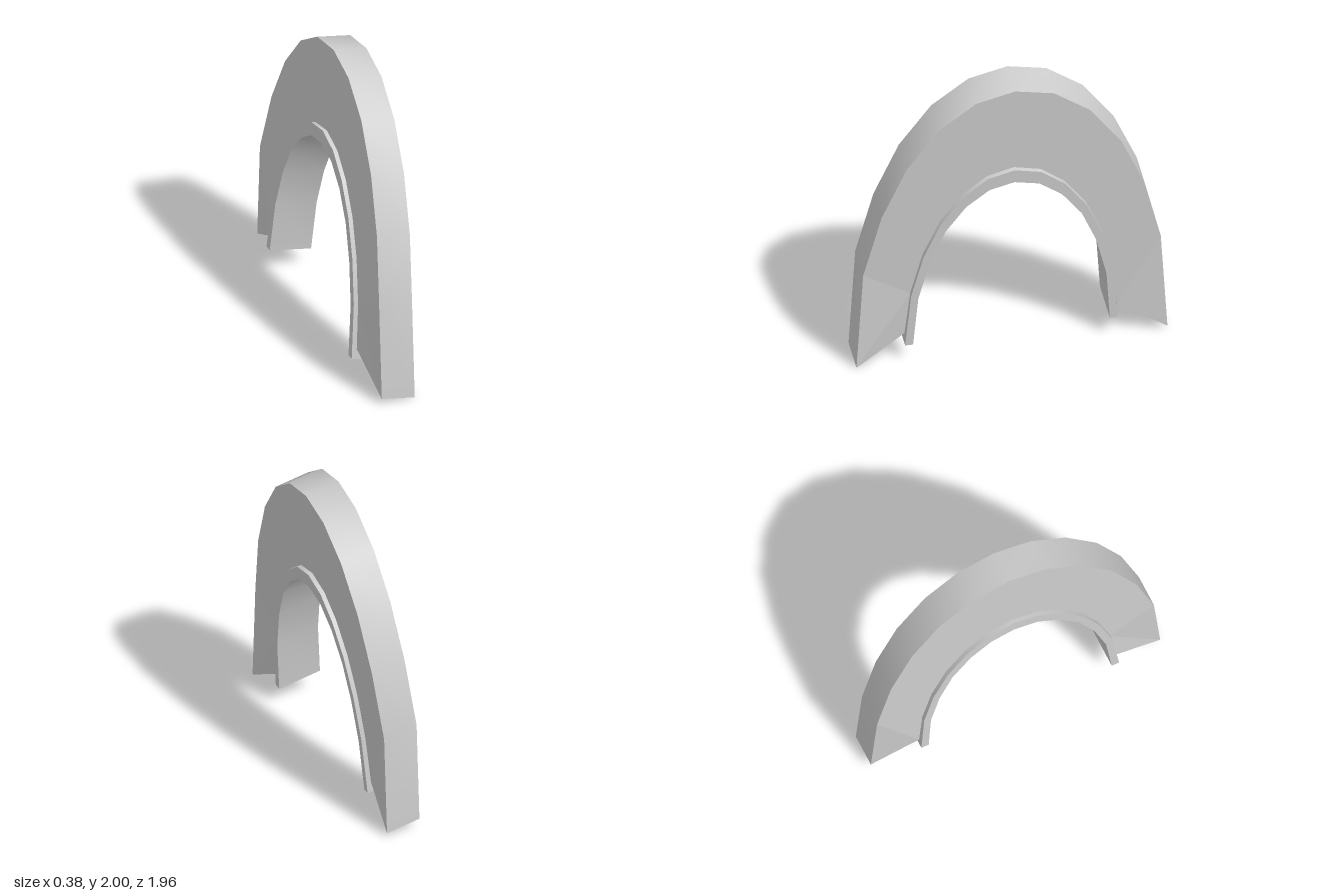
import * as THREE from 'three';
import { mergeGeometries, toCreasedNormals } from 'three/addons/utils/BufferGeometryUtils.js';

// Half profiles [z, y] on the +x side, from the foot up to the crown
const OUTER = [[0.98, 0.015], [0.938, 0.685], [0.83, 1.11], [0.677, 1.46], [0.477, 1.732], [0.246, 1.9], [0, 1.955]];
const SEAM = [[0.67, 0.198], [0.638, 0.505], [0.565, 0.79], [0.46, 1.025], [0.324, 1.21], [0.17, 1.328], [0, 1.37]];
const LINER_OUT = SEAM.map(([z, y], i) => [z, i ? y - 0.005 : 0.121]);
const LINER_IN = [[0.62, 0.121], [0.593, 0.47], [0.524, 0.74], [0.43, 0.96], [0.302, 1.13], [0.157, 1.237], [0, 1.273]];

const WIDTH = 0.22;   // arch thickness along x
const LEAN = 0.0735;  // sideways lean per unit of height
const DROP = 0.205;   // fall of the cross-section towards +x
const ROLL = 0.012;   // slight height difference between the two feet

// Full edge line of the arch; side is +1 / -1, lip is how far it stands proud
function edge(half, side, lip = 0, minY = 0) {
  const mirrored = half.slice(0, -1).reverse().map(([z, y]) => [-z, y]);
  return [...half, ...mirrored].map(([z, y]) => {
    const x = 0.19 + LEAN * (Math.max(y, minY) - 1.955) + lip;
    const w = WIDTH + 2 * lip;
    return side > 0
      ? new THREE.Vector3(x, y - ROLL * z, z)
      : new THREE.Vector3(x - w, y + w * DROP - ROLL * z, z);
  });
}

function trianglesToGeometry(points, crease) {
  const g = new THREE.BufferGeometry().setFromPoints(points);
  return toCreasedNormals(g, crease);
}

// Closed bar through four edge lines: outer +x, outer -x, inner -x, inner +x
function bar(name, lines) {
  const parts = lines.map((p, k) => {
    const q = lines[(k + 1) % 4];
    const tris = [];
    for (let i = 0; i < p.length - 1; i++) {
      const a = p[i], b = p[i + 1], c = q[i], d = q[i + 1];
      if (k === 3) tris.push(a, b, c, c, b, d);
      else tris.push(a, b, d, a, d, c);
    }
    // curved rims are smooth, side faces stay faceted
    return trianglesToGeometry(tris, k % 2 ? 0.03 : 0.7);
  });
  // foot ends
  const [a, b, c, d] = lines.map(l => l[0]);
  const [e, f, g, h] = lines.map(l => l[l.length - 1]);
  parts.push(trianglesToGeometry([a, b, c, a, c, d, e, g, f, e, h, g], 0.03));

  const mesh = new THREE.Mesh(
    mergeGeometries(parts),
    new THREE.MeshStandardMaterial({ color: 0xcccccc })
  );
  mesh.name = name;
  return mesh;
}

export function createModel() {
  const group = new THREE.Group();
  group.name = 'leaningArch';

  // Wide arch; its outer feet stop leaning below the first bend
  group.add(bar('archBody', [
    edge(OUTER, 1, 0, 0.685), edge(OUTER, -1, 0, 0.685),
    edge(SEAM, -1), edge(SEAM, 1)
  ]));

  // Narrow inner band, standing proud on both sides
  const lip = 0.028;
  group.add(bar('innerLiner', [
    edge(LINER_OUT, 1, lip), edge(LINER_OUT, -1, lip),
    edge(LINER_IN, -1, lip), edge(LINER_IN, 1, lip)
  ]));

  return group;
}
